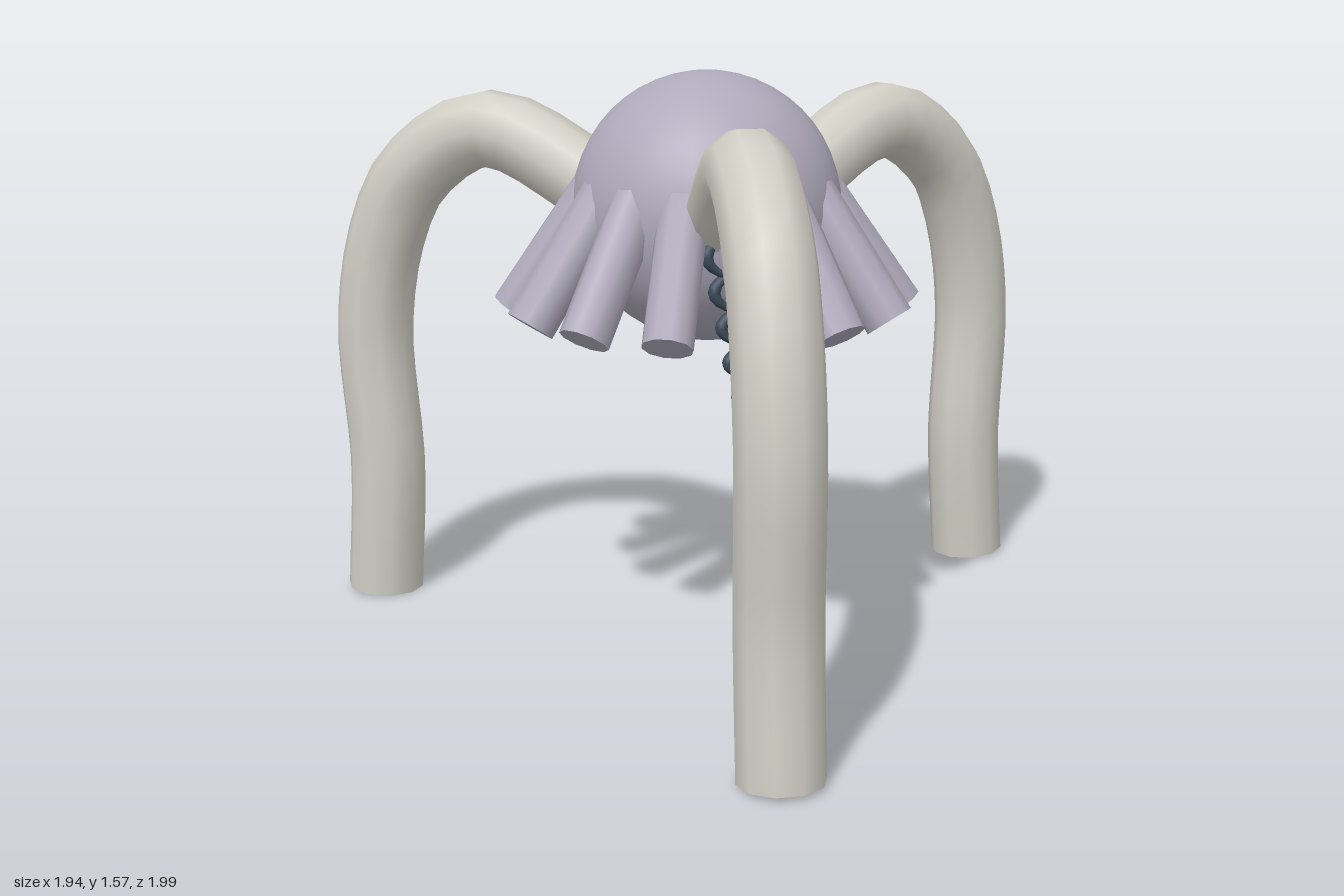
import * as THREE from 'three';

const material = (name, color, side = THREE.FrontSide) => {
  const m = new THREE.MeshStandardMaterial({ color, side });
  m.name = name;
  return m;
};

const mesh = (name, geometry, mat) => {
  const m = new THREE.Mesh(geometry, mat);
  m.name = name;
  return m;
};

export function createModel() {
  const bone = material('bone', 0xd0cec4, THREE.DoubleSide);
  const lilac = material('lilac', 0xaeaabb);
  const slate = material('slate', 0x3d4b5b);

  const model = new THREE.Group();
  model.name = 'threeLeggedCreature';

  // everything radiates from the centre of the body
  const core = new THREE.Group();
  core.name = 'core';
  core.position.set(-0.17, 0, -0.105);
  model.add(core);

  const body = mesh('body', new THREE.SphereGeometry(0.365, 32, 24), lilac);
  body.position.y = 1.225;
  core.add(body);

  // three arched legs, open at the foot
  const legPath = new THREE.CatmullRomCurve3([
    [0.28, 1.24], [0.65, 1.408], [0.885, 1.28], [0.985, 1.1],
    [1.04, 0.82], [1.02, 0.4], [1.045, 0.022],
  ].map(([r, y]) => new THREE.Vector3(r, y, 0)));
  const legGeometry = new THREE.TubeGeometry(legPath, 24, 0.11, 10, false);
  for (let i = 0; i < 3; i++) {
    const leg = mesh('leg' + (i + 1), legGeometry, bone);
    leg.rotation.y = THREE.MathUtils.degToRad(11.6 - i * 120);
    core.add(leg);
  }

  // skirt of fourteen stubby feelers leaning outward
  const length = 0.42, tilt = 0.6;
  const feelerGeometry = new THREE.CylinderGeometry(0.067, 0.067, length, 10);
  feelerGeometry.translate(0, length / 2, 0);
  feelerGeometry.rotateZ(tilt);
  feelerGeometry.translate(0.525, 0.947, 0);
  for (let i = 0; i < 14; i++) {
    const feeler = mesh('feeler' + (i + 1), feelerGeometry, lilac);
    feeler.rotation.y = (i / 14) * Math.PI * 2;
    core.add(feeler);
  }

  // flattened rings hanging at the front, narrowing downward
  [0.083, 0.108, 0.128, 0.148, 0.168].forEach((radius, i) => {
    const ring = mesh('trunkRing' + (i + 1), new THREE.TorusGeometry(radius, 0.017, 8, 24), slate);
    ring.scale.y = 0.43;
    ring.position.set(0, 0.77 + i * 0.095, 0.32);
    core.add(ring);
  });

  return model;
}
